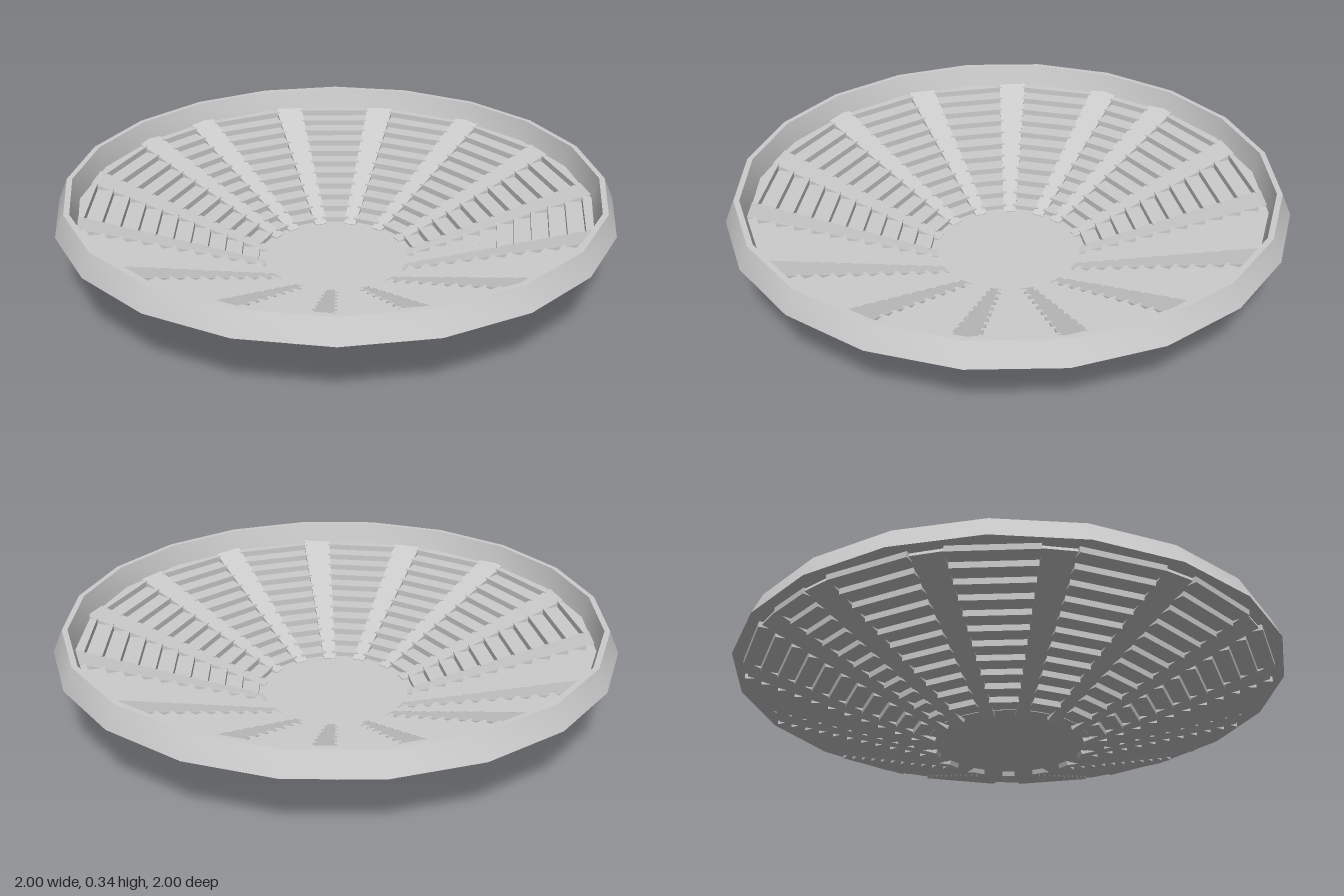
import * as THREE from 'three';
import { toCreasedNormals } from 'three/addons/utils/BufferGeometryUtils.js';

const material = new THREE.MeshStandardMaterial({ color: 0xcccccc });
const RIBS = 15;
const STEP = THREE.MathUtils.degToRad(24.5);
const START = THREE.MathUtils.degToRad(179);
const SLATS = 11;
const slopeY = (r) => (r - 0.27) * 0.36; // underside of the bowl wall

function addMesh(parent, name, geometry) {
  const mesh = new THREE.Mesh(geometry, material);
  mesh.name = name;
  parent.add(mesh);
  return mesh;
}

// Sloping board, widening from the base to the rim
function ribGeometry() {
  const geometry = new THREE.BoxGeometry(2, 1, 1);
  const p = geometry.attributes.position;
  for (let i = 0; i < p.count; i++) {
    const outer = p.getX(i) > 0;
    const top = p.getY(i) > 0;
    const r = outer ? 0.945 : 0.27;
    p.setXYZ(i, r - (top ? 0.008 : 0), slopeY(r) + (top ? 0.026 : 0),
      p.getZ(i) * (outer ? 0.11 : 0.045));
  }
  geometry.computeVertexNormals();
  return geometry;
}

export function createModel() {
  const bowl = new THREE.Group();
  bowl.name = 'slattedBowl';

  // Twenty-sided rim with a bevelled outer face
  const profile = [[0.925, 0.255], [1, 0.255], [0.965, 0.335], [0.945, 0.335], [0.925, 0.255]]
    .map(([x, y]) => new THREE.Vector2(x, y));
  addMesh(bowl, 'rim', toCreasedNormals(new THREE.LatheGeometry(profile, 20), 0.5));

  // Thin round base plate
  const base = addMesh(bowl, 'basePlate', new THREE.CylinderGeometry(0.29, 0.29, 0.008, 40));
  base.position.y = 0.02;

  // Ribs, each followed by a staircase of level slats
  const ribShape = ribGeometry();
  for (let i = 0; i < RIBS; i++) {
    const angle = START + i * STEP;
    addMesh(bowl, 'rib', ribShape).rotation.y = -angle;

    const gap = i < RIBS - 1 ? STEP : 2 * Math.PI - STEP * (RIBS - 1);
    const panel = new THREE.Group();
    panel.name = 'slatPanel';
    panel.rotation.y = -(angle + gap / 2);
    const halfAngle = gap / 2 - 0.055;
    for (let j = 0; j < SLATS; j++) {
      const r = 0.315 + j * 0.06;
      const width = 2 * r * Math.tan(halfAngle);
      const slat = addMesh(panel, 'slat', new THREE.BoxGeometry(0.063, 0.022, width));
      slat.position.set(r, slopeY(r) + 0.013, 0);
    }
    bowl.add(panel);
  }
  return bowl;
}
